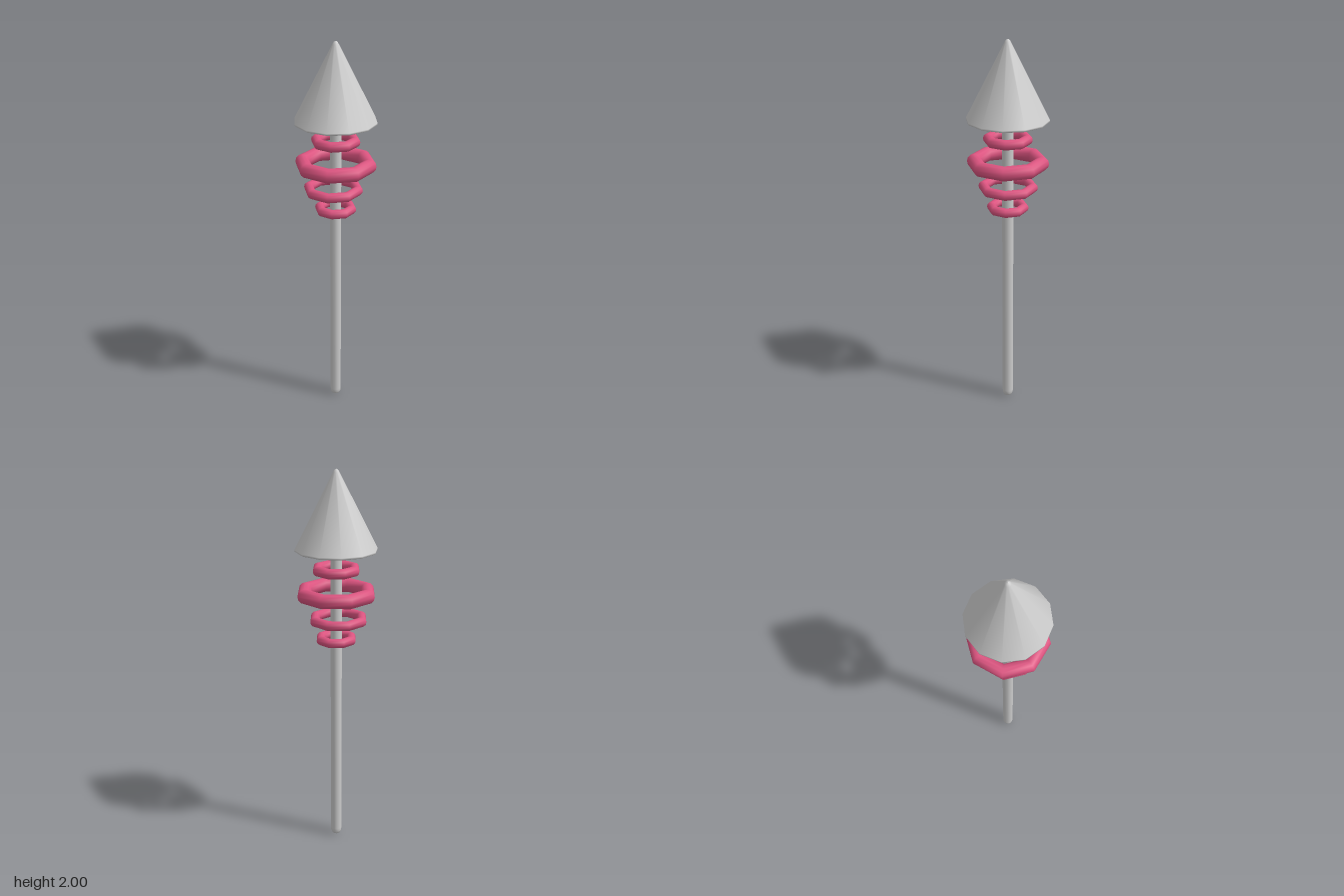
import * as THREE from 'three';

const grey = new THREE.MeshStandardMaterial({ color: 0xcccccc });
const pink = new THREE.MeshStandardMaterial({ color: 0xdc5480 });

// Turned part from [radius, height] pairs, listed bottom to top
function turned(name, profile, sides) {
  const points = profile.map(([r, y]) => new THREE.Vector2(r, y));
  const mesh = new THREE.Mesh(new THREE.LatheGeometry(points, sides), grey);
  mesh.name = name;
  return mesh;
}

export function createModel() {
  const group = new THREE.Group();
  group.name = 'ringedSpear';

  // Shaft with a rounded foot, running up into the head
  group.add(turned('shaft', [
    [0, 0], [0.012, 0.002], [0.022, 0.009], [0.028, 0.024],
    [0.029, 0.04], [0.029, 1.64], [0, 1.65],
  ], 12));

  // Twelve-sided pointed head; the repeated point keeps the underside crisp
  group.add(turned('head', [
    [0, 1.6], [0.2, 1.6], [0.2, 1.6], [0.207, 1.604], [0.207, 1.612],
    [0.016, 1.984], [0.009, 1.996], [0, 2],
  ], 12));

  // Octagonal floating rings: outer radius, tube radius, height, x offset
  const rings = [
    [0.124, 0.026, 1.507, 0],
    [0.207, 0.037, 1.386, 0],
    [0.152, 0.025, 1.251, -0.012],
    [0.107, 0.024, 1.145, 0],
  ];
  rings.forEach(([outer, tube, y, x], i) => {
    const ring = new THREE.Mesh(new THREE.TorusGeometry(outer - tube, tube, 12, 8), pink);
    ring.name = `ring${i + 1}`;
    ring.rotation.x = Math.PI / 2;
    ring.position.set(x, y, 0);
    group.add(ring);
  });

  return group;
}
